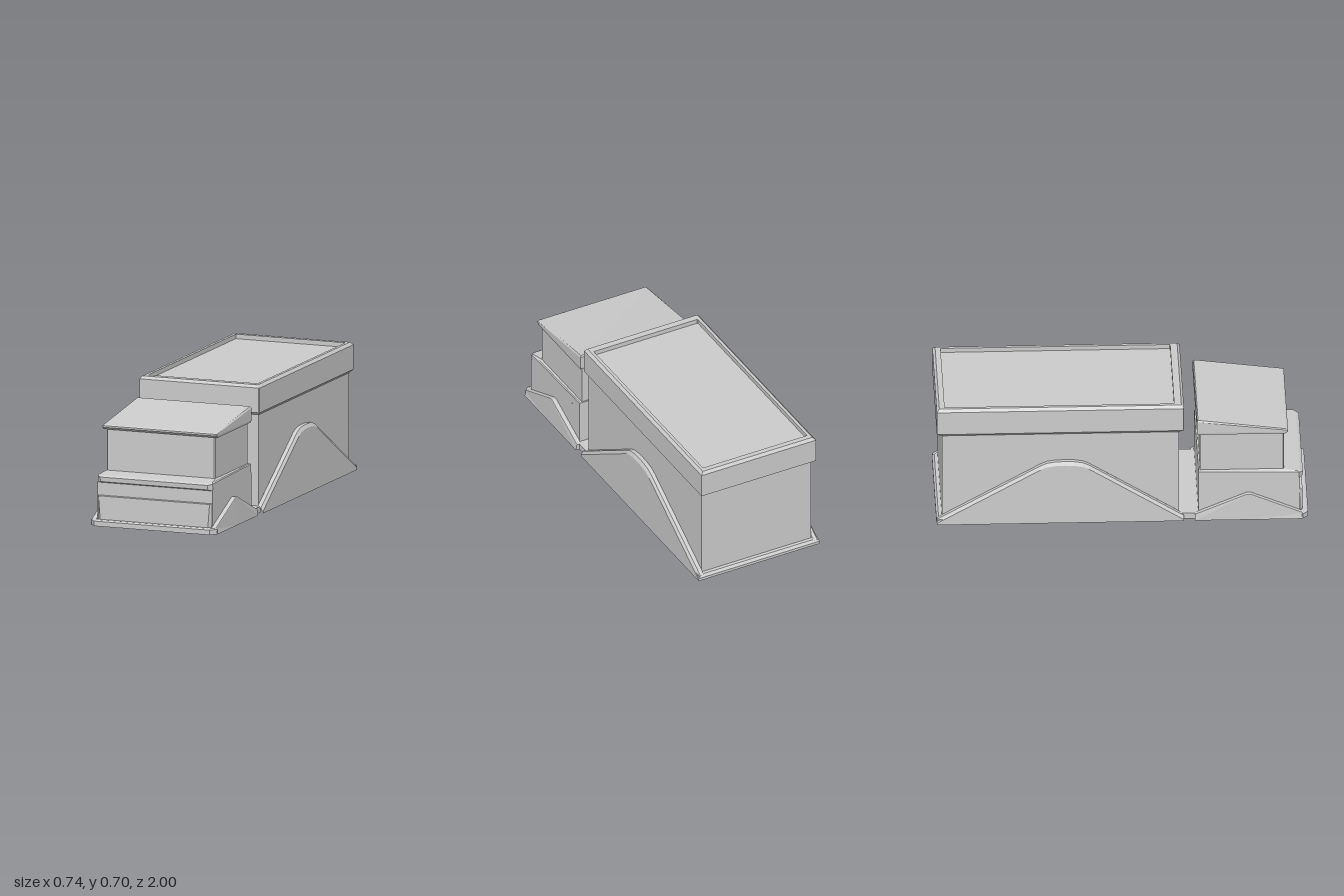
import * as THREE from 'three';

const mat = new THREE.MeshStandardMaterial({ color: 0xcccccc, flatShading: true, side: THREE.DoubleSide });

// Skins a series of point rows; closed rows wrap round, cap fills the last row
function loft(rows, closed = true, cap = false) {
  const pos = [];
  const n = rows[0].length;
  for (let r = 0; r < rows.length - 1; r++) {
    for (let i = 0; i < (closed ? n : n - 1); i++) {
      const j = (i + 1) % n;
      const a = rows[r][i], b = rows[r][j], c = rows[r + 1][j], d = rows[r + 1][i];
      pos.push(...a, ...b, ...c, ...a, ...c, ...d);
    }
  }
  if (cap) {
    const last = rows[rows.length - 1];
    for (let i = 1; i < n - 1; i++) pos.push(...last[0], ...last[i], ...last[i + 1]);
  }
  const g = new THREE.BufferGeometry();
  g.setAttribute('position', new THREE.Float32BufferAttribute(pos, 3));
  g.computeVertexNormals();
  return g;
}

// Horizontal outline with trimmed front corners (cx by cz); heights at back (yb),
// front (yf) and behind the trimmed corners (yc) may differ
function outline(hx, zb, zf, yb, yf = yb, cx = 0.004, cz = cx, yc = yf) {
  return [
    [hx, yc, zf - cz], [hx - cx, yf, zf], [-hx + cx, yf, zf],
    [-hx, yc, zf - cz], [-hx, yb, zb], [hx, yb, zb],
  ].reverse();
}

export function createModel() {
  const model = new THREE.Group();
  const add = (name, geometry, x = 0, y = 0, z = 0) => {
    const m = new THREE.Mesh(geometry, mat);
    m.name = name;
    m.position.set(x, y, z);
    model.add(m);
  };
  const box = (name, w, h, d, x, y, z) => add(name, new THREE.BoxGeometry(w, h, d), x, y, z);

  // Wheel arch profiles, as [z, y] from front to back
  const rearArch = [[0.33, 0.028], [-0.18, 0.35], [-0.215, 0.365], [-0.26, 0.372], [-0.31, 0.374],
    [-0.36, 0.372], [-0.405, 0.365], [-0.44, 0.35], [-0.998, 0.03]];
  const frontArch = [[0.97, 0.034], [0.69, 0.153], [0.67, 0.153], [0.39, 0.034], [0.39, 0]];

  // Side walls, cut away behind the arches
  const wall = (name, points) => {
    const g = new THREE.ShapeGeometry(new THREE.Shape(points.map(p => new THREE.Vector2(...p))));
    g.rotateY(-Math.PI / 2);
    for (const s of [1, -1]) add(name, g, s * 0.335);
  };
  wall('cargoSideWall', [[0.305, 0.54], [0.305, 0.044], ...rearArch.slice(1, -1), [-0.97, 0.046], [-0.97, 0.54]]);
  wall('cabSideWall', [[0.955, 0.236], [0.955, 0.04], [0.69, 0.153], [0.67, 0.153], [0.41, 0.042], [0.41, 0.236]]);

  // Hollow fenders: flat top, bevel, outer plate
  const fender = (name, arch, section) => {
    for (const s of [1, -1]) {
      const rows = section.map(([x, drop]) => arch.map(([z, y]) =>
        [s * x, drop === null ? 0 : Math.max(y - drop, 0), z]));
      add(name, loft(rows, false));
    }
  };
  fender('rearFender', rearArch, [[0.335, 0], [0.357, 0], [0.369, 0.019], [0.369, null]]);
  fender('frontFender', frontArch, [[0.335, 0], [0.36, 0], [0.362, 0.003], [0.367, null]]);

  // Cargo box end walls, open underneath
  box('cargoFrontWall', 0.67, 0.51, 0.006, 0, 0.285, 0.302);
  box('cargoBackWall', 0.67, 0.51, 0.006, 0, 0.285, -0.967);

  // Overhanging lid with a sunken top panel
  add('cargoLid', loft([
    outline(0.335, -0.97, 0.305, 0.534),
    outline(0.35, -0.998, 0.332, 0.55),
    outline(0.35, -0.998, 0.332, 0.685),
    outline(0.335, -0.984, 0.318, 0.70),
    outline(0.318, -0.955, 0.28, 0.70),
    outline(0.318, -0.955, 0.28, 0.675),
  ], true, true));

  // Skirt behind the cargo box
  add('rearSkirt', loft([[0.032, -0.967], [0.03, -0.988], [0.016, -1], [0, -1]]
    .map(([y, z]) => [[-0.369, y, z], [0.369, y, z]]), false));

  // Chassis link between cab and cargo box
  box('chassisLink', 0.69, 0.034, 0.11, 0, 0.017, 0.36);

  // Lower cab panels
  box('cabFrontPanel', 0.668, 0.206, 0.006, 0, 0.135, 0.952);
  box('cabBackPanel', 0.668, 0.21, 0.006, 0, 0.135, 0.413);

  // Hood with projecting lip, running up into the upper cab
  add('cabBody', loft([
    outline(0.334, 0.41, 0.955, 0.235, 0.233),
    outline(0.334, 0.41, 0.97, 0.238, 0.24, 0.022, 0.02),
    outline(0.334, 0.41, 0.972, 0.283, 0.265, 0.022, 0.02, 0.27),
    outline(0.328, 0.41, 0.958, 0.285, 0.274, 0.022, 0.02, 0.277),
    outline(0.316, 0.418, 0.872, 0.285, 0.285, 0.006),
    outline(0.316, 0.418, 0.872, 0.512, 0.512, 0.006),
  ]));

  // Roof, sloping down towards the front
  add('cabRoof', loft([
    outline(0.312, 0.42, 0.86, 0.512),
    outline(0.331, 0.405, 0.88, 0.51),
    outline(0.333, 0.402, 0.892, 0.523, 0.522),
    outline(0.333, 0.402, 0.892, 0.59, 0.531),
    outline(0.327, 0.408, 0.884, 0.598, 0.537),
  ], true, true));

  // Tapered grille panel with slanted sides
  add('grillePanel', loft([
    [[-0.334, 0.033, 0.95], [0.334, 0.033, 0.95], [0.334, 0.164, 0.95], [-0.334, 0.164, 0.95]],
    [[-0.313, 0.033, 0.97], [0.313, 0.033, 0.97], [0.323, 0.161, 0.97], [-0.323, 0.161, 0.97]],
  ], true, true));

  // Front bumper rim with trimmed corners
  const rim = (d, y) => [[-0.367 + d, 0.965], [-0.335 + d, 1 - d], [0.335 - d, 1 - d], [0.367 - d, 0.965]]
    .map(([x, z]) => [x, y, z]);
  add('frontBumper', loft([rim(0.045, 0.033), rim(0.01, 0.033), rim(0, 0.027), rim(0, 0)], false));

  return model;
}
